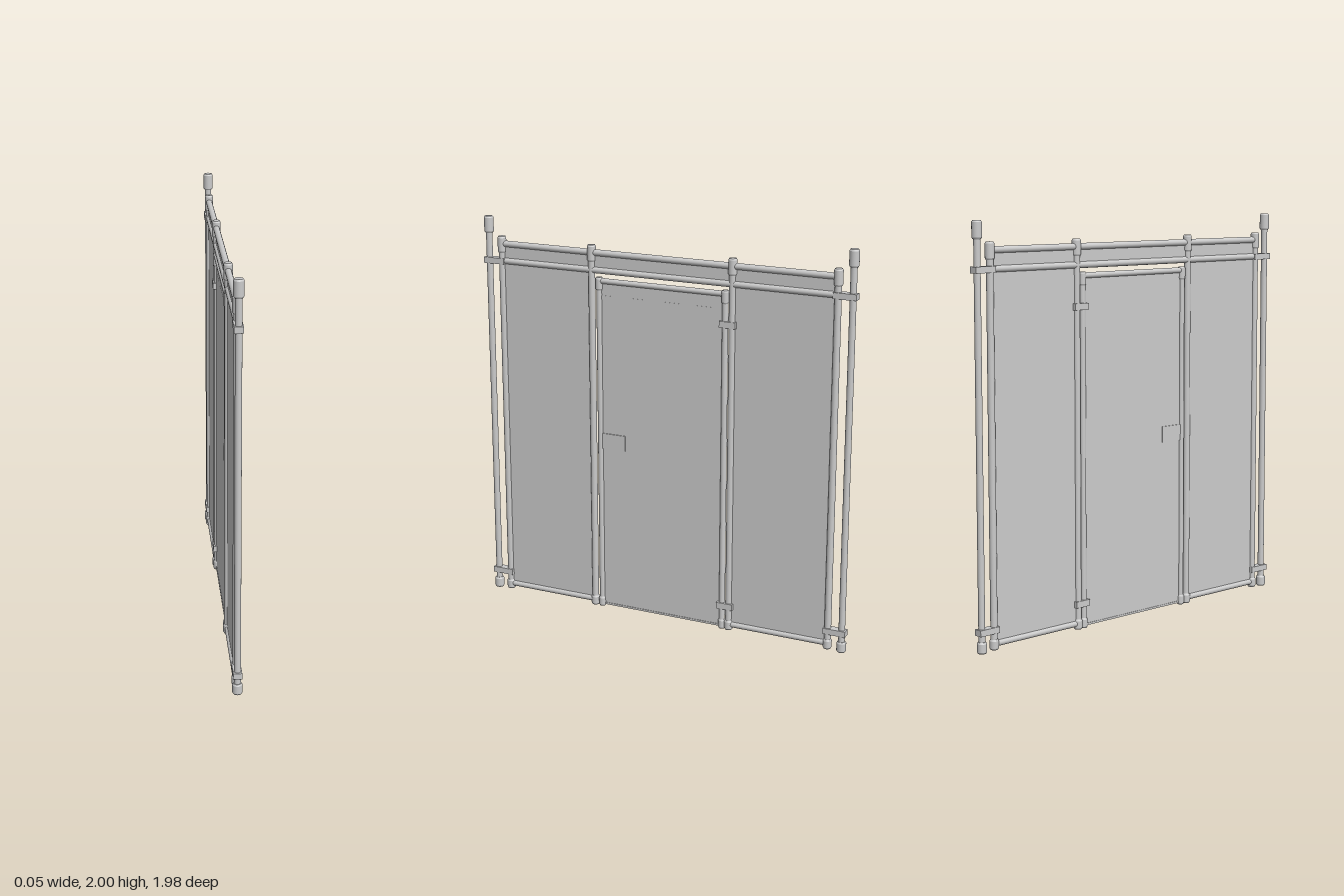
import * as THREE from 'three';

export function createModel() {
  const group = new THREE.Group();
  group.name = 'fenceGate';
  const grey = new THREE.MeshStandardMaterial({ color: 0xcccccc });

  function add(name, geometry, x, y, z) {
    const mesh = new THREE.Mesh(geometry, grey);
    mesh.name = name;
    mesh.position.set(x, y, z);
    group.add(mesh);
    return mesh;
  }

  // Upright tube between two heights
  function post(name, z, r, y0, y1) {
    add(name, new THREE.CylinderGeometry(r, r, y1 - y0, 16), 0, (y0 + y1) / 2, z);
  }

  // Horizontal tube between two z positions
  function rail(name, y, r, z0, z1) {
    const mesh = add(name, new THREE.CylinderGeometry(r, r, Math.abs(z1 - z0), 16), 0, y, (z0 + z1) / 2);
    mesh.rotation.x = Math.PI / 2;
  }

  // Socket fitting with bevelled rims
  function cap(name, z, r, y0, y1) {
    const b = 0.008, h = y1 - y0;
    const profile = [[0, 0], [r * 0.8, 0], [r * 0.8, 0], [r, b], [r, b], [r, h - b],
      [r, h - b], [r * 0.8, h], [r * 0.8, h], [0, h]].map(([x, y]) => new THREE.Vector2(x, y));
    add(name, new THREE.LatheGeometry(profile, 16), 0, y0, z);
  }

  // Flat box centred on x = 0, given by its extents in y and z
  function slab(name, width, y0, y1, z0, z1) {
    add(name, new THREE.BoxGeometry(width, y1 - y0, Math.abs(z1 - z0)), 0, (y0 + y1) / 2, (z0 + z1) / 2);
  }

  const outer = 0.967, end = 0.894, midA = 0.387, midB = -0.366;
  const doorA = 0.346, doorB = -0.329;

  // Tall outer posts and the clamps tying them to the frame
  for (const s of [1, -1]) {
    post('outerPost', s * outer, 0.016, 0.01, 1.97);
    cap('outerPostCap', s * outer, 0.024, 1.915, 2);
    cap('outerPostFoot', s * outer, 0.024, 0, 0.055);
    for (const y of [0.1, 1.777]) {
      slab('postClamp', 0.042, y - 0.015, y + 0.015, s * 0.99, s * 0.875);
    }
  }

  // Frame posts
  for (const z of [end, midA, midB, -end]) {
    post('framePost', z, 0.017, 0.01, 1.88);
    cap('framePostCap', z, 0.022, 1.82, 1.903);
    cap('framePostFoot', z, 0.022, 0.005, 0.055);
  }

  // Rails
  rail('topRail', 1.865, 0.016, end, -end);
  rail('crossRail', 1.778, 0.016, end, -end);

  // Side bays and the strip above the door
  for (const [a, b] of [[end, midA], [midB, -end]]) {
    rail('bottomRail', 0.033, 0.015, a, b);
    slab('sidePanel', 0.006, 0.033, 1.778, a, b);
  }
  slab('upperPanel', 0.006, 1.778, 1.865, end, -end);

  // Door leaf
  for (const z of [doorA, doorB]) {
    post('doorPost', z, 0.015, 0.01, 1.72);
    cap('doorPostCap', z, 0.019, 1.68, 1.745);
    cap('doorPostFoot', z, 0.019, 0.005, 0.055);
  }
  rail('doorTopRail', 1.727, 0.014, doorA, doorB);
  slab('doorPanel', 0.006, 0.018, 1.655, doorA, doorB);
  slab('doorTopPanel', 0.005, 1.655, 1.727, doorA, doorB);
  slab('doorSill', 0.012, 0.014, 0.024, doorA, doorB);

  // Lock plate and hinges
  slab('lockPlate', 0.016, 0.865, 0.945, 0.337, 0.207);
  for (const y of [0.13, 1.58]) {
    slab('hinge', 0.04, y - 0.016, y + 0.016, -0.305, -0.39);
  }

  return group;
}
